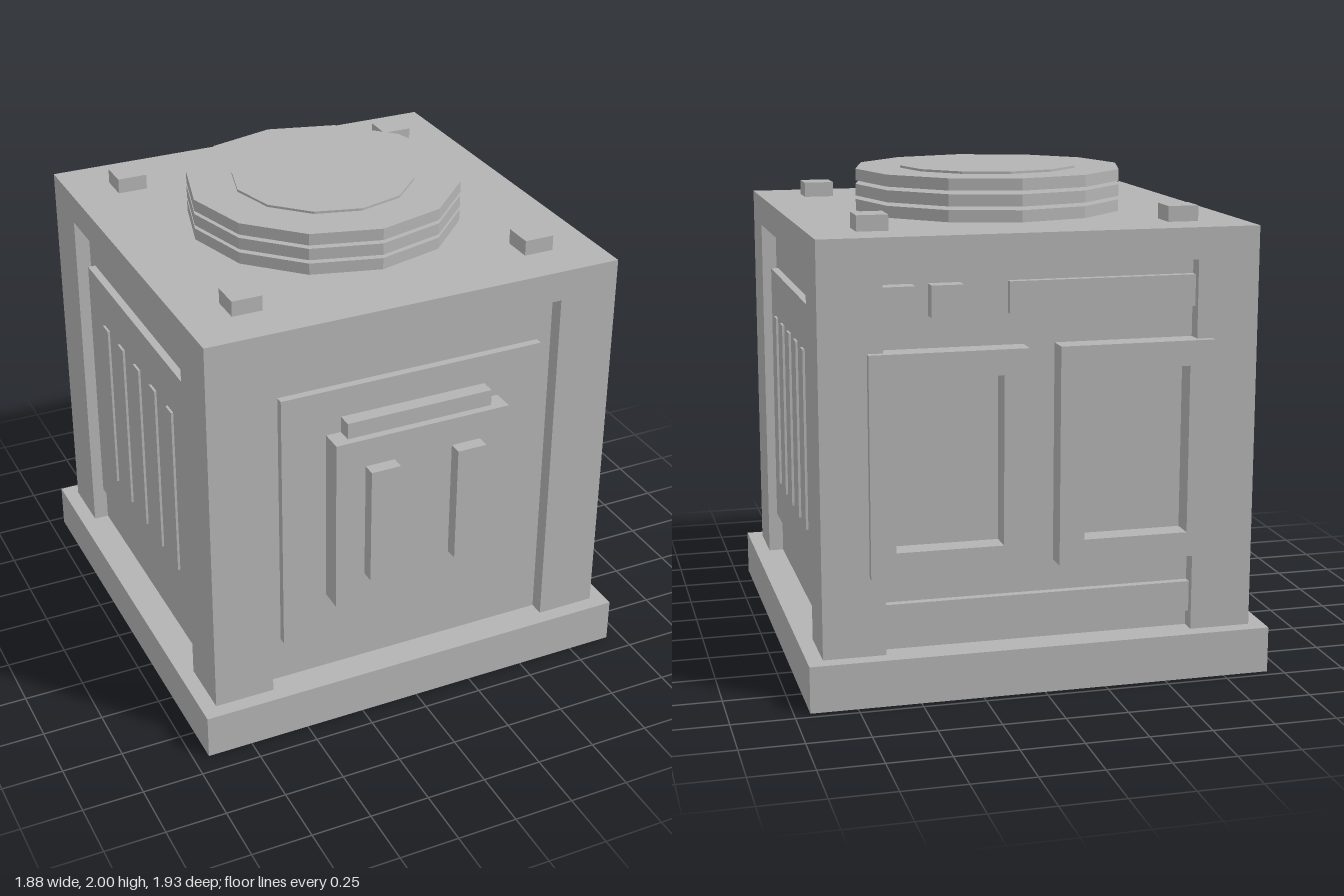
import * as THREE from 'three';

export function createModel() {
  const model = new THREE.Group();
  const root = new THREE.Group();
  root.name = 'crate';
  root.position.z = -0.027;
  model.add(root);
  const grey = new THREE.MeshStandardMaterial({ color: 0xb3b3b3, flatShading: true });
  grey.name = 'plain grey';

  const add = (name, geometry) => {
    const mesh = new THREE.Mesh(geometry, grey);
    mesh.name = name;
    root.add(mesh);
    return mesh;
  };
  // Box given by its extents on each axis
  const box = (name, x0, x1, y0, y1, z0, z1) => {
    const mesh = add(name, new THREE.BoxGeometry(x1 - x0, y1 - y0, z1 - z0));
    mesh.position.set((x0 + x1) / 2, (y0 + y1) / 2, (z0 + z1) / 2);
    return mesh;
  };

  const H = 0.875;      // half width of the body
  const F = 0.8125;     // recessed wall planes
  const P = 0.845;      // raised panel planes
  const baseTop = 0.1875, recessTop = 1.6925, bodyTop = 1.8175;

  // Body: base, recessed core, top slab and corner posts
  box('base', -0.9375, 0.9375, 0, baseTop, -0.9375, 0.9375);
  box('core', -F, F, baseTop, recessTop, -F, F);
  box('topSlab', -H, H, recessTop, bodyTop, -H, H);
  for (const sx of [-1, 1]) for (const sz of [-1, 1]) {
    const post = box('cornerPost', -0.125, 0.125, baseTop, recessTop, -0.125, 0.125);
    post.position.x = sx * 0.75;
    post.position.z = sz * 0.75;
    const stud = box('topStud', -0.0625, 0.0625, bodyTop, 1.88, -0.0625, 0.0625);
    stud.position.x = sx * 0.625;
    stud.position.z = sz * 0.625;
  }

  // Round cap: narrow core with three stacked rings
  const disc = (name, r, y0, y1) => {
    add(name, new THREE.CylinderGeometry(r, r, y1 - y0, 12)).position.y = (y0 + y1) / 2;
  };
  disc('capCore', 0.375, bodyTop, 2);
  for (let i = 0; i < 3; i++) {
    const y = bodyTop + i * 0.0625;
    disc('capRing', 0.5625, y, y + 0.048);
  }

  // Front: panel, box, ledge and two handles
  box('frontPanel', -0.5625, 0.5625, 0.38, 1.505, F, P);
  box('frontBox', -0.375, 0.375, 0.5675, 1.3125, F, 0.9375);
  box('frontLedge', -0.3125, 0.3125, 1.3125, 1.38, F, 0.906);
  for (const s of [-1, 1]) {
    box('frontHandle', s * 0.1875 - 0.0625, s * 0.1875 + 0.0625, 0.6925, 1.1925, 0.9375, 0.992);
  }

  // Sides: raised panel with five slats
  for (const s of [-1, 1]) {
    const side = box('sidePanel', F, P, 0.38, 1.505, -0.5625, 0.5625);
    side.position.x *= s;
    for (let i = 0; i < 5; i++) {
      const z = 0.406 - i * 0.1875;
      const slat = box('sideSlat', P, P + 0.01, 0.5675, 1.3125, z - 0.031, z + 0.031);
      slat.position.x *= s;
    }
  }

  // Back: two framed doors
  for (const s of [-1, 1]) {
    const w = 0.3125, y0 = 0.505, y1 = 1.38, b = 0.1;
    const frame = new THREE.Shape([
      new THREE.Vector2(-w, y0), new THREE.Vector2(w, y0),
      new THREE.Vector2(w, y1), new THREE.Vector2(-w, y1)]);
    frame.holes.push(new THREE.Path([
      new THREE.Vector2(b - w, y0 + b), new THREE.Vector2(b - w, y1 - b),
      new THREE.Vector2(w - b, y1 - b), new THREE.Vector2(w - b, y0 + b)]));
    const door = add('backDoorFrame',
      new THREE.ExtrudeGeometry(frame, { depth: 0.094, bevelEnabled: false }));
    door.position.set(s * 0.375, 0, -0.9063);
  }

  // Back: two buttons, upper strip and lower strip
  for (const x of [0.3125, 0.5]) {
    box('backButton', x, x + 0.125, 1.505, 1.63, -H, -F);
  }
  box('backUpperStrip', -0.625, 0.125, 1.505, 1.63, -P, -F);
  box('backLowerStrip', -0.625, 0.625, 0.255, 0.38, -P, -F);

  return model;
}
